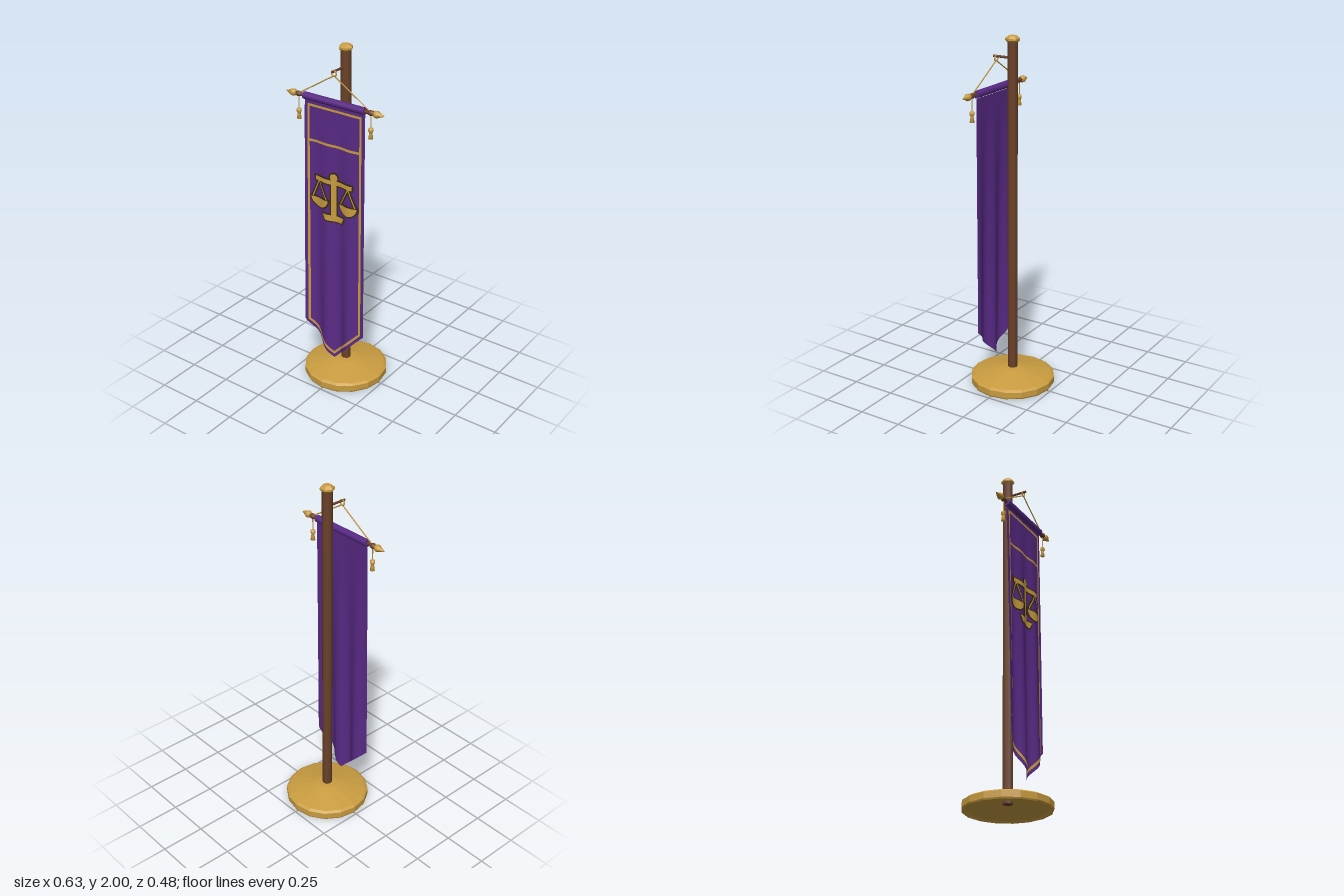
import * as THREE from 'three';

const mat = (name, color, side = THREE.FrontSide) => {
  const m = new THREE.MeshStandardMaterial({ color, side });
  m.name = name;
  return m;
};

export function createModel() {
  const gold = mat('gold', 0xc99c40);
  const wood = mat('brown wood', 0x6b422a);
  const purple = mat('purple cloth', 0x592a86, THREE.DoubleSide);
  const dark = mat('dark outline', 0x3a2a16);
  const group = new THREE.Group();
  const BAR_Y = 1.71, BAR_Z = 0.103;

  const add = (name, geo, material, parent = group) => {
    const mesh = new THREE.Mesh(geo, material);
    mesh.name = name;
    parent.add(mesh);
    return mesh;
  };
  const facet = (geo) => {
    const g = geo.toNonIndexed();
    g.computeVertexNormals();
    return g;
  };
  // Turned part; the profile runs from bottom to top
  const turned = (profile, sides) =>
    new THREE.LatheGeometry(profile.map(([r, y]) => new THREE.Vector2(r, y)), sides, Math.PI / 2);
  // Round rod between two points
  const rod = (name, a, b, r, sides, material) => {
    const from = new THREE.Vector3(...a), dir = new THREE.Vector3(...b).sub(from);
    const m = add(name, new THREE.CylinderGeometry(r, r, dir.length(), sides), material);
    m.position.copy(from).addScaledVector(dir, 0.5);
    m.quaternion.setFromUnitVectors(new THREE.Vector3(0, 1, 0), dir.normalize());
    return m;
  };

  // Folds of the hanging cloth, deeper towards the bottom
  const clothZ = (x, y) => {
    const depth = 0.034 * Math.pow(Math.max(0, (1.685 - y) / 1.5), 0.85);
    return 0.1 + depth * (0.5 + 0.5 * Math.cos((2 * Math.PI * (x - 0.1)) / 0.146));
  };
  // Grid surface laid over the folds; fn(u, v) gives [x, y]
  const drape = (name, fn, nu, nv, lift, material, parent) => {
    const pos = [], index = [];
    for (let j = 0; j <= nv; j++) for (let i = 0; i <= nu; i++) {
      const [x, y] = fn(i / nu, j / nv);
      pos.push(x, y, clothZ(x, y) + lift);
      if (i < nu && j < nv) {
        const a = j * (nu + 1) + i, c = a + nu + 1;
        index.push(a, a + 1, c + 1, a, c + 1, c);
      }
    }
    const g = new THREE.BufferGeometry();
    g.setAttribute('position', new THREE.Float32BufferAttribute(pos, 3));
    g.setIndex(index);
    g.computeVertexNormals();
    return add(name, g, material, parent);
  };
  // Straight ribbon of width w, lengthened by ext at both ends
  const ribbon = (name, [ax, ay], [bx, by], w, ext, lift, material, parent) => {
    const len = Math.hypot(bx - ax, by - ay), dx = (bx - ax) / len, dy = (by - ay) / len;
    const n = Math.max(4, Math.ceil(len / 0.012));
    drape(name, (u, v) => {
      const s = -ext + u * (len + 2 * ext), t = (v - 0.5) * w;
      return [ax + dx * s - dy * t, ay + dy * s + dx * t];
    }, n, 3, lift, material, parent);
  };

  // Base, hollow underneath
  add('base', facet(turned([[0, 0.06], [0.215, 0.012], [0.225, 0], [0.236, 0.004], [0.24, 0.012],
    [0.24, 0.046], [0.225, 0.055], [0.06, 0.092], [0, 0.096]], 16)), gold);

  // Pole and its cap
  rod('pole', [0, 0.04, 0], [0, 1.97, 0], 0.028, 8, wood);
  add('poleCap', facet(turned([[0, 1.96], [0.026, 1.962], [0.039, 1.974], [0.039, 1.984],
    [0.022, 1.998], [0, 2]], 6)), gold);

  // Hanging bracket, ring and cords
  rod('bracket', [0, 1.88, 0], [0, 1.88, 0.12], 0.007, 6, wood);
  const ring = add('ring', new THREE.TorusGeometry(0.015, 0.004, 6, 14), gold);
  ring.position.set(0, 1.869, BAR_Z);

  // Crossbar with cloth sleeve
  rod('crossbar', [-0.25, BAR_Y, BAR_Z], [0.25, BAR_Y, BAR_Z], 0.01, 8, wood);
  rod('sleeve', [-0.194, BAR_Y, BAR_Z], [0.194, BAR_Y, BAR_Z], 0.02, 10, purple);

  for (const s of [1, -1]) {
    rod('cord', [0, 1.857, BAR_Z], [s * 0.222, BAR_Y + 0.008, BAR_Z], 0.0035, 5, gold);
    // Collar and pointed finial at the bar end
    const end = new THREE.Group();
    end.name = 'barEnd';
    end.position.set(0, BAR_Y, BAR_Z);
    end.rotation.z = -s * Math.PI / 2;
    group.add(end);
    add('collar', turned([[0.01, 0.212], [0.015, 0.226], [0.015, 0.236], [0.01, 0.246]], 8), wood, end);
    add('finial', turned([[0, 0.243], [0.011, 0.245], [0.019, 0.257], [0.02, 0.268], [0.014, 0.281],
      [0.012, 0.285], [0, 0.316]], 8), gold, end);
    // Tassel
    rod('tasselCord', [s * 0.23, 1.62, BAR_Z], [s * 0.23, BAR_Y, BAR_Z], 0.003, 5, gold);
    const tassel = add('tassel', turned([[0, 1.568], [0.013, 1.57], [0.009, 1.598], [0.008, 1.603],
      [0.014, 1.612], [0.013, 1.626], [0, 1.634]], 8), gold);
    tassel.position.set(s * 0.23, 0, BAR_Z);
  }

  // Banner cloth with pointed lower edge
  drape('bannerCloth', (u, v) => {
    const x = (u - 0.5) * 0.386, low = 0.145 + (Math.abs(x) / 0.193) * 0.205;
    return [x, low + (1.688 - low) * v];
  }, 48, 60, 0, purple);

  // Border and upper stripe
  const border = [[-0.166, 1.665], [-0.166, 0.355], [0, 0.178], [0.166, 0.355], [0.166, 1.665]];
  border.forEach((p, i) =>
    ribbon('border', p, border[(i + 1) % border.length], 0.013, 0.005, 0.003, gold));
  ribbon('stripe', [-0.166, 1.468], [0.166, 1.468], 0.014, 0, 0.003, gold);

  // Balance scales; grow widens every piece for the outline layer
  const scales = (name, grow, lift, material) => {
    const g = new THREE.Group();
    g.name = name;
    group.add(g);
    const line = (part, a, b, w) => ribbon(part, a, b, w + 2 * grow, grow, lift, material, g);
    // Area between a lower and an upper curve, from -1 to 1 across
    const area = (part, cx, half, low, high) => drape(part, (u, v) => {
      const t = -Math.cos(Math.PI * u);
      return [cx + t * half, low(t) + (high(t) - low(t)) * v];
    }, 16, 6, lift, material, g);
    const arc = (t) => Math.sqrt(Math.max(0, 1 - t * t));

    const r = 0.022 + grow;
    area('knob', 0, r, (t) => 1.288 - r * arc(t), (t) => 1.288 + r * arc(t));
    line('post', [0, 1.06], [0, 1.28], 0.03);
    line('beam', [-0.122, 1.259], [0.122, 1.259], 0.024);
    // Foot, wider at its top
    drape('foot', (u, v) => [(u - 0.5) * 2 * (0.05 + grow + 0.018 * v),
      1.03 - grow + v * (0.034 + 2 * grow)], 12, 4, lift, material, g);
    for (const s of [1, -1]) {
      const cx = s * 0.092, h = 0.057 + grow;
      area('pan', cx, h, (t) => 1.143 - (0.052 + grow) * arc(t), () => 1.143 + grow);
      for (const k of [1, -1])
        line('panCord', [s * 0.098, 1.25], [cx + k * 0.048, 1.148], 0.006);
    }
  };
  scales('scalesOutline', 0.009, 0.004, dark);
  scales('scales', 0, 0.007, gold);

  return group;
}
